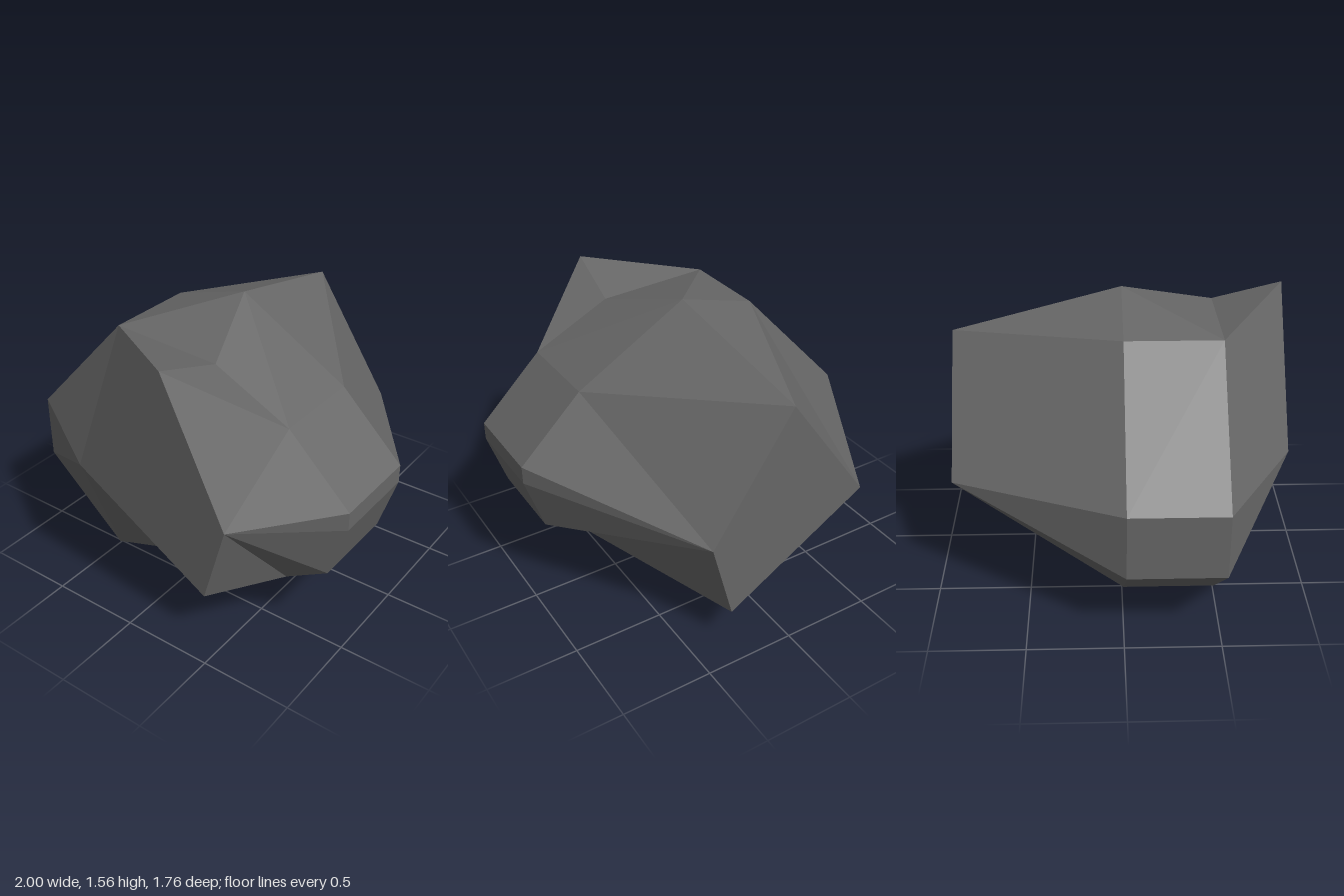
import * as THREE from 'three';

// Cross-sections as [x, y], counterclockwise seen from the front
const waist = [
  [-0.40, 1.44], [-1.00, 0.80], [-1.00, 0.44], [-0.51, 0.00], [0.03, 0.18], [0.66, 0.31],
  [0.90, 0.45], [1.00, 0.76], [1.00, 0.86], [0.65, 1.20], [0.22, 1.41],
];
const waistPeak = [0.03, 1.56]; // the rear waist section rises to a peak at its last point
const frontCap = [[0.18, 1.52], [-0.39, 0.79], [0.41, 0.31], [0.54, 0.76]];
const backCap = [[-0.04, 1.35], [-0.51, 0.70], [0.29, 0.22], [0.41, 0.67]];

// Cap corner that each waist segment tapers to
const apex = [1, 1, 1, 1, 2, 3, 3, 3, 3, 0, 0];

const atDepth = (points, z) => points.map(([x, y]) => new THREE.Vector3(x, y, z));

function createRockGeometry() {
  const n = waist.length;
  const front = atDepth(waist, 0.51);
  const back = atDepth([...waist.slice(0, -1), waistPeak], 0.01);
  const triangles = [];
  const add = (...corners) => triangles.push(...corners);

  // Faceted end: a tapering band closed by a flat four-sided cap
  const addEnd = (ring, cap, flip) => {
    const face = (a, b, c) => (flip ? add(a, c, b) : add(a, b, c));
    for (let i = 0; i < n; i++) {
      const here = cap[apex[i]];
      const previous = cap[apex[(i + n - 1) % n]];
      face(ring[i], ring[(i + 1) % n], here);
      if (here !== previous) face(ring[i], here, previous);
    }
    face(cap[0], cap[1], cap[2]);
    face(cap[0], cap[2], cap[3]);
  };
  addEnd(front, atDepth(frontCap, 0.88), false);
  addEnd(back, atDepth(backCap, -0.88), true);

  // Waist between the two sections, creased toward the peak
  for (let i = 0; i < n; i++) {
    const j = (i + 1) % n;
    if (j === 0) add(front[i], back[i], front[j], back[i], back[j], front[j]);
    else add(front[i], back[i], back[j], front[i], back[j], front[j]);
  }

  const geometry = new THREE.BufferGeometry().setFromPoints(triangles);
  geometry.computeVertexNormals();
  return geometry;
}

export function createModel() {
  const stone = new THREE.MeshStandardMaterial({ color: 0x666666, flatShading: true });
  stone.name = 'grey stone';

  const rock = new THREE.Mesh(createRockGeometry(), stone);
  rock.name = 'rock';

  const group = new THREE.Group();
  group.name = 'boulder';
  group.add(rock);
  return group;
}
